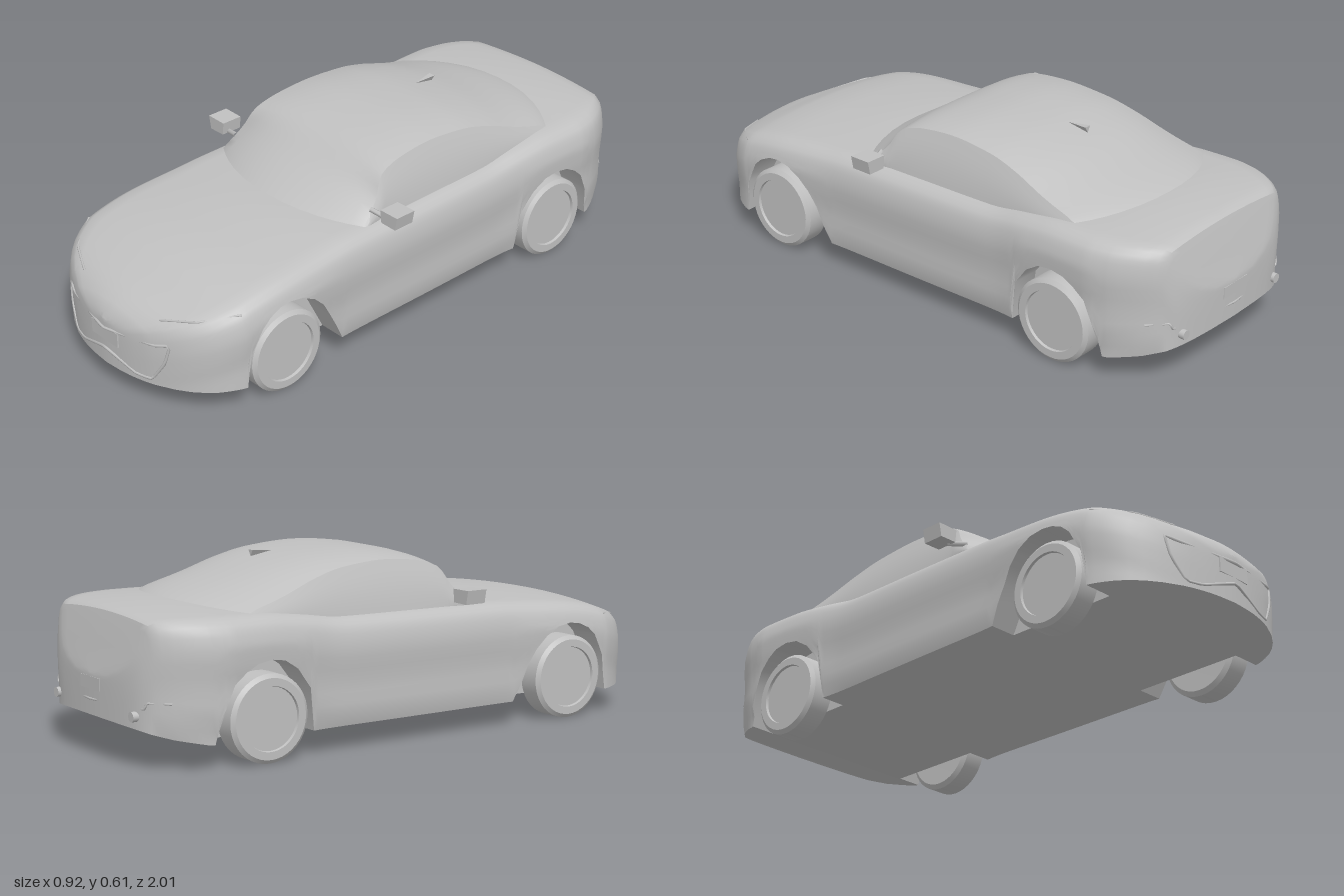
import * as THREE from 'three';
import { toCreasedNormals } from 'three/addons/utils/BufferGeometryUtils.js';

const paint = new THREE.MeshStandardMaterial({ color: 0xc0c0c0 });
paint.name = 'silver grey';

// Smooth monotone curve through [z, value] pairs listed from front to back
function curve(pts, linear = false) {
  const slope = (i) => (pts[i + 1][1] - pts[i][1]) / (pts[i + 1][0] - pts[i][0]);
  const tangent = (i) => {
    if (i === 0) return slope(0);
    if (i === pts.length - 1) return slope(i - 1);
    const a = slope(i - 1), b = slope(i);
    return a * b <= 0 ? 0 : (2 * a * b) / (a + b);
  };
  return (z) => {
    if (z >= pts[0][0]) return pts[0][1];
    let i = 0;
    while (i < pts.length - 2 && z < pts[i + 1][0]) i++;
    const h = pts[i + 1][0] - pts[i][0];
    const t = Math.min(1, (z - pts[i][0]) / h);
    const p = pts[i][1], q = pts[i + 1][1];
    if (linear) return p + (q - p) * t;
    const t2 = t * t, t3 = t2 * t;
    return (2 * t3 - 3 * t2 + 1) * p + (t3 - 2 * t2 + t) * h * tangent(i)
      + (3 * t2 - 2 * t3) * q + (t3 - t2) * h * tangent(i + 1);
  };
}

// Body curves: half width, shoulder height, centre height, floor and wheel arches
const width = curve([[0.995, 0], [0.99, 0.07], [0.98, 0.13], [0.96, 0.2], [0.93, 0.265], [0.88, 0.335],
  [0.82, 0.383], [0.75, 0.41], [0.6, 0.416], [0.3, 0.406], [0, 0.405], [-0.35, 0.402], [-0.5, 0.412],
  [-0.72, 0.42], [-0.8, 0.405], [-0.88, 0.365], [-0.93, 0.325], [-0.96, 0.285], [-0.98, 0.235], [-0.995, 0.12], [-1, 0]]);
const shoulder = curve([[0.995, 0.22], [0.97, 0.255], [0.93, 0.285], [0.88, 0.312], [0.8, 0.343], [0.72, 0.367],
  [0.6, 0.387], [0.4, 0.403], [0.3, 0.41], [0, 0.415], [-0.3, 0.42], [-0.45, 0.44], [-0.6, 0.455],
  [-0.85, 0.457], [-0.94, 0.448], [-0.957, 0.4], [-0.98, 0.32], [-1, 0.25]]);
const crown = curve([[0.995, 0.24], [0.97, 0.28], [0.93, 0.31], [0.85, 0.343], [0.75, 0.382], [0.6, 0.408],
  [0.35, 0.424], [0, 0.42], [-0.3, 0.43], [-0.6, 0.468], [-0.75, 0.478], [-0.94, 0.463], [-0.957, 0.415],
  [-0.98, 0.33], [-1, 0.26]]);
const floor = curve([[1, 0.08], [-0.8, 0.08], [-0.9, 0.1], [-0.95, 0.115], [-1, 0.135]], true);
const archPoints = [[0.765, 0], [0.757, 0.08], [0.74, 0.2], [0.70, 0.275], [0.67, 0.302], [0.63, 0.32], [0.59, 0.325],
  [0.54, 0.317], [0.49, 0.29], [0.45, 0.25], [0.42, 0.2], [0.36, 0.08], [0.34, 0], [-0.42, 0], [-0.43, 0.08],
  [-0.45, 0.22], [-0.5, 0.285], [-0.55, 0.317], [-0.6, 0.325], [-0.65, 0.317], [-0.69, 0.295], [-0.73, 0.26],
  [-0.76, 0.19], [-0.788, 0.08], [-0.8, 0]];
const arch = curve(archPoints, true);
// Share of the half width at a given depth below the shoulder
const flank = curve([[0, 0.87], [0.02, 0.945], [0.05, 0.98], [0.09, 1], [0.14, 0.995], [0.2, 0.98],
  [0.28, 0.985], [0.31, 0.98], [0.34, 0.955]]);
const sideX = (y, z) => width(z) * flankAt(shoulder(z) - y);
function flankAt(d) {
  return d >= 0.34 ? 0.955 : flankRising(d);
}
const flankRising = ((c) => (d) => c(-d))(curve([[0, 0.87], [-0.02, 0.945], [-0.05, 0.98], [-0.09, 1],
  [-0.14, 0.995], [-0.2, 0.98], [-0.28, 0.985], [-0.31, 0.98], [-0.34, 0.955]]));

// Skin through half sections (top centre, out to +x, down), mirrored in x
function loft(sections, crease) {
  const pos = [];
  const tri = (a, b, c) => {
    pos.push(...a, ...b, ...c);
    for (const p of [a, c, b]) pos.push(-p[0], p[1], p[2]);
  };
  for (let i = 0; i < sections.length - 1; i++) {
    const s = sections[i], t = sections[i + 1];
    for (let j = 0; j < s.length - 1; j++) {
      tri(s[j], s[j + 1], t[j]);
      tri(s[j + 1], t[j + 1], t[j]);
    }
  }
  const g = new THREE.BufferGeometry();
  g.setAttribute('position', new THREE.Float32BufferAttribute(pos, 3));
  return toCreasedNormals(g, crease);
}

function bodySection(z) {
  const W = width(z), B = shoulder(z), H = crown(z), base = floor(z), low = Math.max(base, arch(z));
  const pts = [];
  for (let i = 0; i <= 8; i++) {
    const u = i / 8;
    pts.push([0.87 * W * u, B + (H - B) * (1 - u * u), z]);
  }
  for (const d of [0.008, 0.02, 0.035, 0.05]) pts.push([sideX(B - d, z), B - d, z]);
  for (let i = 1; i <= 8; i++) {
    const y = B - 0.05 + (low - B + 0.05) * (i / 8);
    pts.push([sideX(y, z), y, z]);
  }
  const inner = Math.min(0.3, sideX(low, z) * 0.95);
  pts.push([inner, low, z], [inner, base, z], [0, base, z]);
  return pts;
}

// Cabin curves: roof height, roof-edge drop and the bow of each section in plan
const roof = curve([[0.35, 0.41], [0.33, 0.423], [0.2, 0.503], [0.08, 0.575], [0, 0.595], [-0.13, 0.606],
  [-0.25, 0.6], [-0.4, 0.574], [-0.55, 0.532], [-0.73, 0.481], [-0.77, 0.462]]);
const edgeDrop = curve([[0.35, 0.008], [0.2, 0.025], [0, 0.025], [-0.4, 0.035], [-0.6, 0.03], [-0.77, 0.015]]);
const bow = curve([[0.35, 0.11], [0.2, 0.05], [0.07, -0.02], [-0.25, 0], [-0.5, -0.06], [-0.77, -0.13]]);

function cabinSection(zc) {
  const R = roof(zc), E = R - edgeDrop(zc), edge = 0.345 - Math.max(0, E - 0.42) * 0.32;
  const at = (x, y) => [x, y, zc - bow(zc) * (x / 0.34) ** 2];
  const pts = [0, 0.2, 0.4, 0.6, 0.75, 0.88, 1].map((u) => at(edge * u, R - (R - E) * u ** 3));
  for (let i = 1; i <= 5; i++) {
    const t = i / 5;
    pts.push(at(edge + (0.348 - edge) * t + 0.008 * Math.sin(Math.PI * t), E + (0.395 - E) * t));
  }
  return pts;
}

// Body surface seen from the front (dir 1) or the back (dir -1)
function endZ(x, y, dir) {
  x = Math.abs(x);
  for (let z = dir; Math.abs(z) > 0.3; z -= dir * 0.001) {
    const W = width(z), B = shoulder(z);
    const u = x / (0.87 * W + 1e-6);
    if (y <= B ? x <= sideX(y, z) : y <= B + (crown(z) - B) * (1 - u * u)) return z;
  }
  return dir * 0.3;
}

export function createModel() {
  const car = new THREE.Group();
  car.name = 'car';
  const add = (name, geometry, parent = car) => {
    const m = new THREE.Mesh(geometry, paint);
    m.name = name;
    parent.add(m);
    return m;
  };
  // Beading laid over the end surfaces
  const bead = (name, pts, dir, r, closed = false) => {
    const line = new THREE.CatmullRomCurve3(pts.map(([x, y]) => new THREE.Vector3(x, y, endZ(x, y, dir))),
      closed, 'catmullrom', 0.1);
    add(name, new THREE.TubeGeometry(line, 60, r, 6, closed));
  };

  // Body shell with arches, wheel wells and floor
  const stations = [0.995, 0.993, 0.99, 0.985, 0.98, 0.97, -0.945, -0.951, -0.957, -0.965, -0.972, -0.98,
    -0.988, -0.995, -0.998, -1, ...archPoints.map((p) => p[0])];
  for (let z = 0.96; z > -0.95; z -= 0.03) stations.push(z);
  stations.sort((a, b) => b - a);
  add('body', loft(stations.map(bodySection), 0.6));

  // Cabin with windscreen, roof and rear window
  const cabin = [];
  for (let i = 0; i <= 40; i++) cabin.push(cabinSection(0.35 - 1.12 * i / 40));
  add('cabin', loft(cabin, 0.6));

  // Wheels
  const profile = [[0, -0.045], [0.125, -0.047], [0.14, -0.036], [0.14, 0.036], [0.127, 0.047],
    [0.102, 0.047], [0.1, 0.038], [0, 0.038]].map((p) => new THREE.Vector2(...p));
  const wheel = toCreasedNormals(new THREE.LatheGeometry(profile, 40).rotateZ(-Math.PI / 2), 0.5);
  for (const z of [0.595, -0.6]) {
    for (const s of [1, -1]) {
      const w = add((z > 0 ? 'front' : 'rear') + (s > 0 ? 'LeftWheel' : 'RightWheel'), wheel);
      w.position.set(0.361 * s, 0.14, z);
      if (s < 0) w.rotation.y = Math.PI;
    }
  }

  for (const s of [1, -1]) {
    // Door mirrors
    const mirror = new THREE.Group();
    mirror.name = s > 0 ? 'leftMirror' : 'rightMirror';
    car.add(mirror);
    const shape = new THREE.Shape([[0.39, 0.433], [0.452, 0.432], [0.461, 0.478], [0.385, 0.477]]
      .map(([x, y]) => new THREE.Vector2(x * s, y)));
    add('mirrorHousing', new THREE.ExtrudeGeometry(shape, { depth: 0.075, bevelEnabled: false })
      .translate(0, 0, 0.115), mirror);
    const stalk = new THREE.LineCurve3(new THREE.Vector3(0.33 * s, 0.452, 0.18), new THREE.Vector3(0.4 * s, 0.435, 0.16));
    add('mirrorStalk', new THREE.TubeGeometry(stalk, 1, 0.009, 6), mirror);

    // Headlamp outline and exhaust tip
    bead('headlampEdge', [[0.19, 0.298], [0.3, 0.318], [0.385, 0.338]].map(([x, y]) => [x * s, y]), 1, 0.004);
    const tip = add('exhaustTip', new THREE.CylinderGeometry(0.016, 0.016, 0.03, 16).rotateX(Math.PI / 2));
    tip.position.set(0.24 * s, 0.165, endZ(0.24, 0.165, -1));
  }

  // Front intake frame, lower splitter fold and rear bumper edge
  bead('intakeFrame', [[-0.25, 0.236], [-0.2, 0.225], [0, 0.213], [0.2, 0.225], [0.25, 0.236], [0.235, 0.17],
    [0.19, 0.1], [0.13, 0.1], [0, 0.142], [-0.13, 0.1], [-0.19, 0.1], [-0.235, 0.17]], 1, 0.005, true);
  bead('rearBumperEdge', [[-0.34, 0.21], [-0.28, 0.21], [-0.27, 0.19], [0, 0.185], [0.27, 0.19], [0.28, 0.21],
    [0.34, 0.21]], -1, 0.004);

  // Plates and front badge disc
  add('frontPlate', new THREE.BoxGeometry(0.13, 0.05, 0.008)).position.set(0, 0.19, 0.991);
  add('rearPlate', new THREE.BoxGeometry(0.12, 0.04, 0.008)).position.set(0, 0.235, -0.996);

  // Roof aerial fin
  const fin = new THREE.ConeGeometry(0.014, 0.08, 3).rotateX(Math.PI / 2);
  add('roofFin', toCreasedNormals(fin, 0.3)).position.set(0, 0.595, -0.37);

  return car;
}
